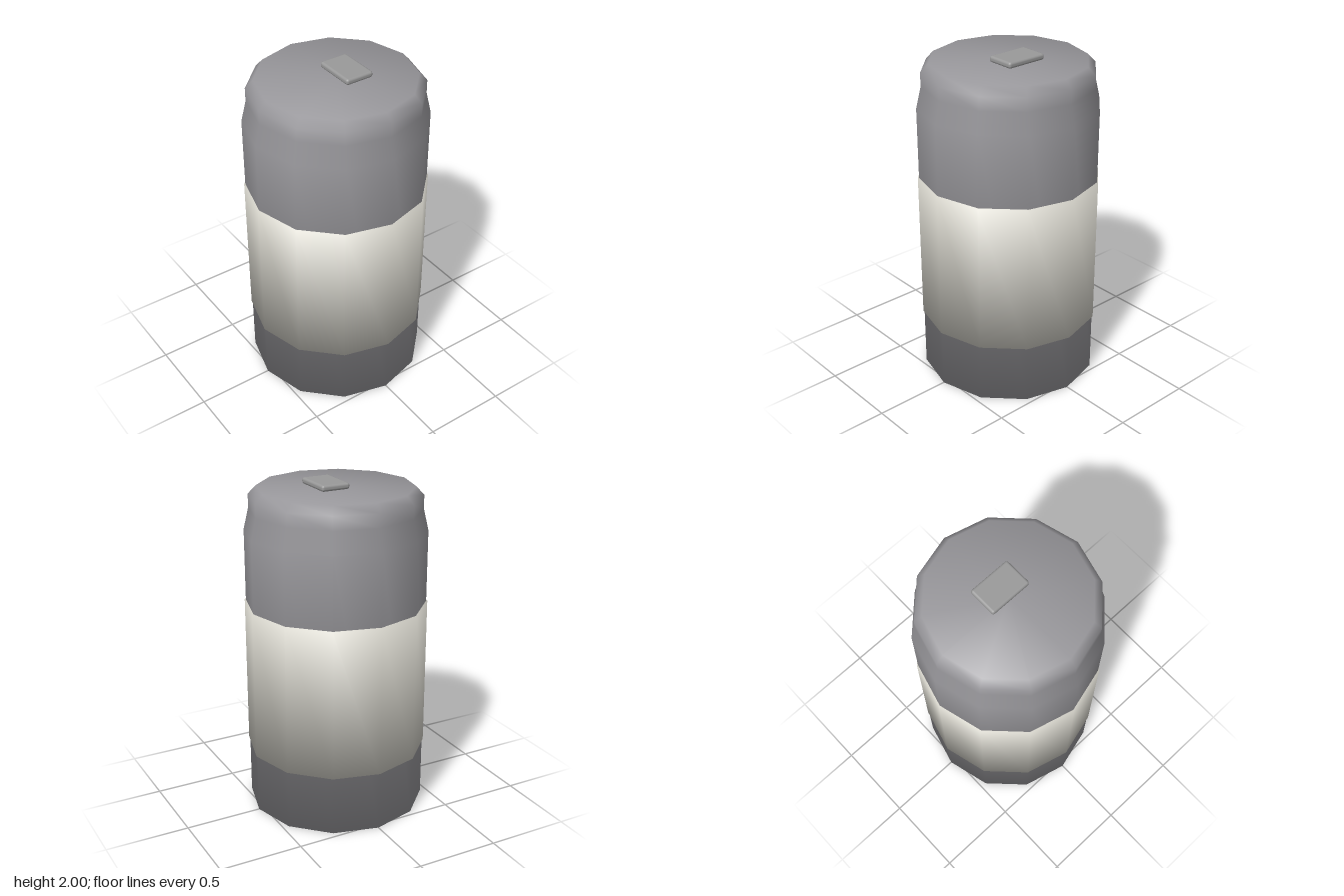
import * as THREE from 'three';
import { RoundedBoxGeometry } from 'three/addons/geometries/RoundedBoxGeometry.js';

const SIDES = 12;

// Twelve-sided lathe whose normals blend evenly across every profile corner
function smoothLathe(profile) {
  const pts = profile.map(([r, y]) => new THREE.Vector2(r, y));
  const geo = new THREE.LatheGeometry(pts, SIDES);
  const segs = pts.slice(1).map((p, i) =>
    new THREE.Vector2(p.y - pts[i].y, pts[i].x - p.x).normalize());
  const blend = pts.map((p, i) =>
    (segs[i - 1] || segs[i]).clone().add(segs[i] || segs[i - 1]).normalize());
  const normal = geo.attributes.normal;
  for (let s = 0; s <= SIDES; s++) {
    const a = (s / SIDES) * Math.PI * 2;
    blend.forEach((n, j) =>
      normal.setXYZ(s * pts.length + j, n.x * Math.sin(a), n.y, n.x * Math.cos(a)));
  }
  return geo;
}

function material(name, color) {
  const m = new THREE.MeshStandardMaterial({ color });
  m.name = name;
  return m;
}

export function createModel() {
  const group = new THREE.Group();
  group.name = 'can';
  const add = (name, geo, mat) => {
    const mesh = new THREE.Mesh(geo, mat);
    mesh.name = name;
    group.add(mesh);
    return mesh;
  };

  // Can body: flat base, straight wall, tapered neck and bevelled lid
  add('canBody', smoothLathe([
    [0, 0], [0.535, 0], [0.535, 1.7], [0.505, 1.83],
    [0.505, 1.91], [0.46, 1.958], [0, 1.958],
  ]), material('metal grey', 0x98979b));

  // Label wrapped around the middle
  add('labelBand', smoothLathe([
    [0.5, 0.363], [0.542, 0.363], [0.542, 1.272], [0.5, 1.272],
  ]), material('label cream', 0xd2d0c7));

  // Pull tab just above the lid, set towards the back
  const tab = add('pullTab', new RoundedBoxGeometry(0.26, 0.037, 0.176, 2, 0.015),
    material('tab grey', 0x999999));
  tab.position.set(0, 1.9815, -0.066);

  return group;
}
